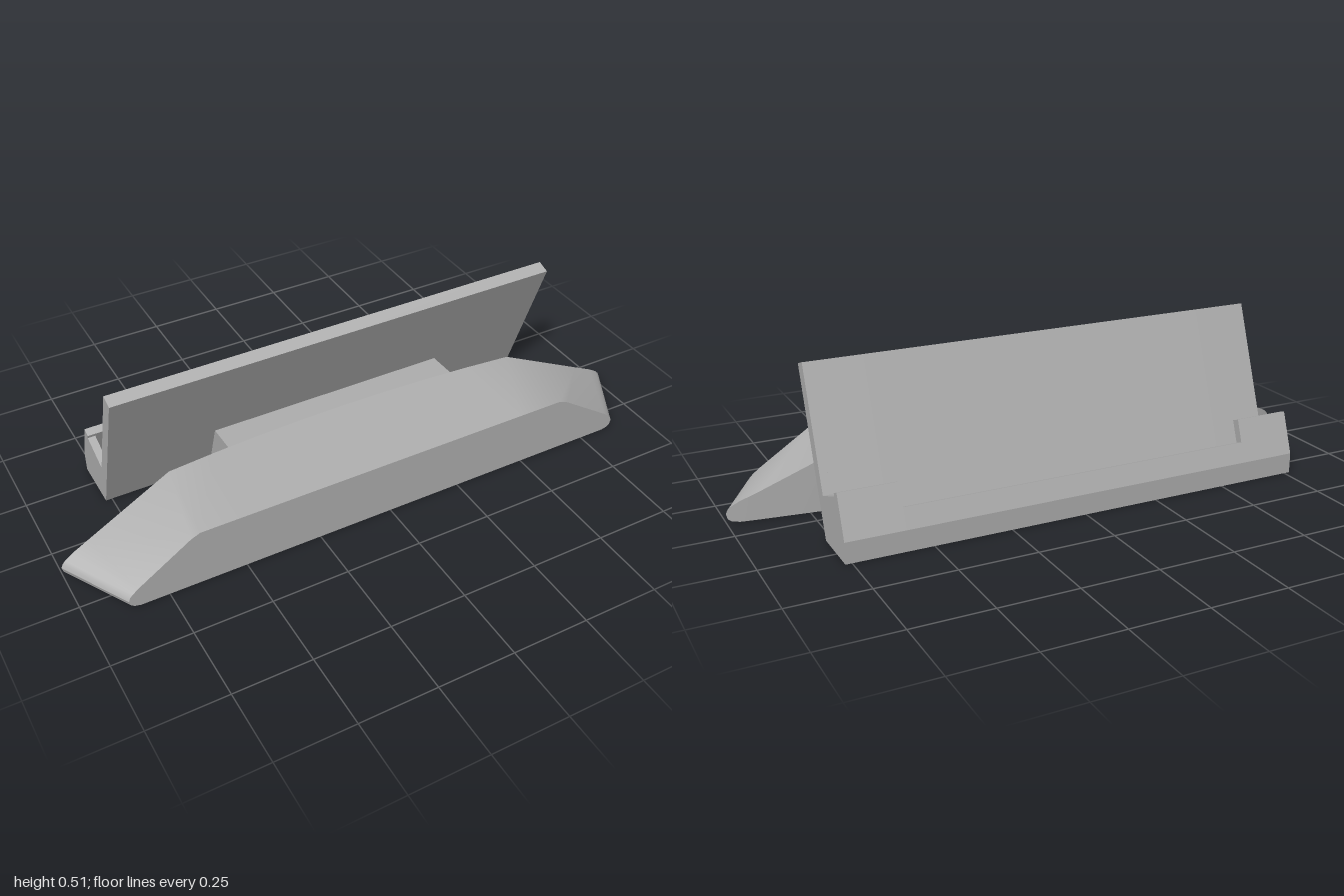
import * as THREE from 'three';
import { toCreasedNormals } from 'three/addons/utils/BufferGeometryUtils.js';

export function createModel() {
  const group = new THREE.Group();
  const grey = new THREE.MeshStandardMaterial({ color: 0xb0b0b0 });
  grey.name = 'plain grey';

  const add = (name, geometry) => {
    const mesh = new THREE.Mesh(geometry, grey);
    mesh.name = name;
    group.add(mesh);
  };

  // Extrude a [z, y] profile along x from x0 to x1
  const slice = (name, profile, x0, x1) => {
    const shape = new THREE.Shape(profile.map(([z, y]) => new THREE.Vector2(-z, y)));
    const geo = new THREE.ExtrudeGeometry(shape, { depth: x1 - x0, bevelEnabled: false });
    geo.rotateY(Math.PI / 2);
    geo.translate(x0, 0, 0);
    add(name, geo);
  };
  const mirrored = (name, profile, x0, x1) => {
    slice(name + 'Left', profile, x0, x1);
    slice(name + 'Right', profile, -x1, -x0);
  };

  // Leaning back rest with a tilted tray behind it
  const rest = [[-0.15, 0], [0.03, 0.493], [-0.012, 0.507]];
  const foot = [[-0.327, 0.067], [-0.327, 0]];
  const tallLip = [[-0.254, 0.19], [-0.28, 0.2]];
  const lowLip = [[-0.279, 0.12], [-0.305, 0.13]];
  const floor = [[-0.19, 0.016], [-0.302, 0.057]];
  mirrored('trayEnd', [...rest, [-0.145, 0.14], [-0.257, 0.18], ...tallLip, ...foot], 0.745, 0.77);
  mirrored('trayCorner', [...rest, ...floor, ...tallLip, ...foot], 0.585, 0.745);
  mirrored('trayMiddle', [...rest, ...floor, ...lowLip, ...foot], 0.07, 0.585);

  // Centre of the tray, open at the bottom for a cable
  slice('restCentre', [...rest, floor[0], [-0.19, 0]], -0.07, 0.07);
  slice('lipCentre', [[-0.28, 0], [-0.28, 0.049], floor[1], ...lowLip, ...foot], -0.07, 0.07);

  // Bridge between the rest and the front body
  slice('bridge', [[0.06, 0], [0.06, 0.201], [-0.078, 0.196], [-0.15, 0]], -0.41, 0.41);

  // Front body: columns of [x, top, bottom] at the front and at the bowed back
  const front = [[0, 0.193, 0], [0.16, 0.193, 0], [0.32, 0.193, 0], [0.48, 0.193, 0], [0.64, 0.193, 0],
    [0.67, 0.18, 0], [0.84, 0.068, 0], [0.86, 0.052, 0.005], [0.87, 0.042, 0.013], [0.875, 0.028, 0.028]];
  const back = [[0, 0.209, 0], [0.155, 0.209, 0], [0.31, 0.209, 0], [0.465, 0.209, 0], [0.62, 0.209, 0],
    [0.9, 0.09, 0], [0.96, 0.066, 0], [0.985, 0.052, 0.005], [0.995, 0.042, 0.013], [1, 0.03, 0.03]];
  const mirror = (cols) => [...cols.slice(1).reverse().map(([x, t, b]) => [-x, t, b]), ...cols];
  const f = mirror(front);
  const r = mirror(back);
  const bow = (x) => 0.018 + 0.085 * x * x;
  const corners = (i) => ({
    ft: [f[i][0], f[i][1], 0.327], fb: [f[i][0], f[i][2], 0.327],
    rt: [r[i][0], r[i][1], bow(r[i][0])], rb: [r[i][0], r[i][2], bow(r[i][0])],
  });
  const positions = [];
  const quad = (a, b, c, d) => positions.push(...a, ...b, ...c, ...a, ...c, ...d);
  for (let i = 0; i < f.length - 1; i++) {
    const p = corners(i);
    const q = corners(i + 1);
    quad(p.ft, q.ft, q.rt, p.rt); // top
    quad(p.fb, p.rb, q.rb, q.fb); // bottom
    quad(p.fb, q.fb, q.ft, p.ft); // front
    quad(q.rb, p.rb, p.rt, q.rt); // back
  }
  const body = new THREE.BufferGeometry();
  body.setAttribute('position', new THREE.Float32BufferAttribute(positions, 3));
  add('frontBody', toCreasedNormals(body, 0.5));

  return group;
}
